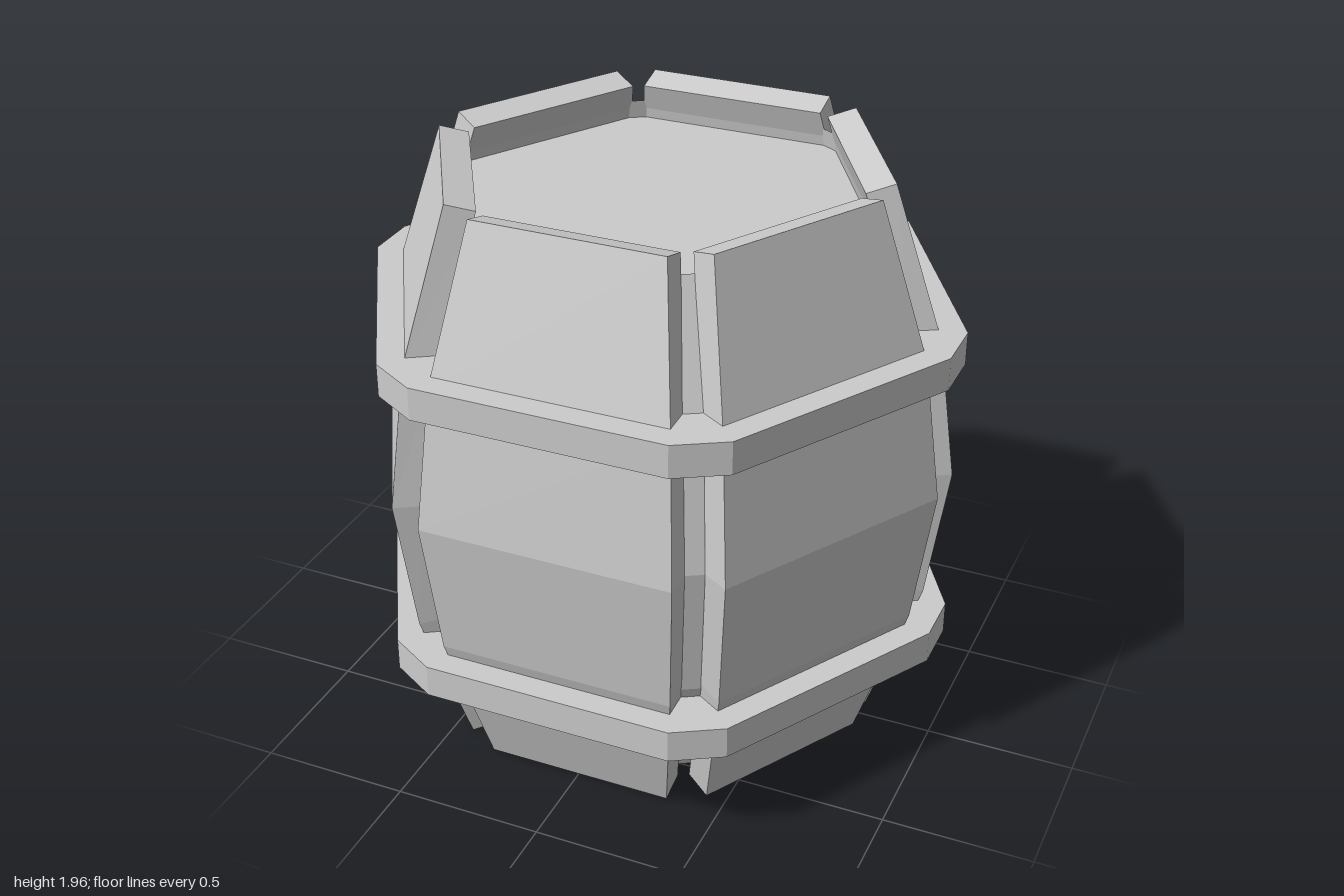
import * as THREE from 'three';

const material = new THREE.MeshStandardMaterial({ color: 0xcccccc, flatShading: true });

// Hexagon with chamfered corners, counter-clockwise; r = distance to chamfer, h = half chamfer width
function chamferedHexagon(r, h) {
  const points = [];
  for (let k = 0; k < 6; k++) {
    const c = Math.cos(k * Math.PI / 3), s = Math.sin(k * Math.PI / 3);
    for (const t of [-h, h]) points.push(new THREE.Vector2(r * c - t * s, r * s + t * c));
  }
  return points;
}

// Closed solid through stacked cross-sections (bottom to top, counter-clockwise from above)
function loft(sections) {
  const n = sections[0].length, last = sections.length - 1, index = [];
  for (let i = 0; i < last; i++) {
    for (let j = 0; j < n; j++) {
      const a = i * n + j, b = i * n + (j + 1) % n;
      index.push(a, b, b + n, a, b + n, a + n);
    }
  }
  for (let j = 1; j < n - 1; j++) {
    index.push(0, j + 1, j);
    index.push(last * n, last * n + j, last * n + j + 1);
  }
  const indexed = new THREE.BufferGeometry().setFromPoints(sections.flat());
  indexed.setIndex(index);
  const geometry = indexed.toNonIndexed();
  geometry.computeVertexNormals();
  return geometry;
}

function addMesh(parent, name, geometry) {
  const mesh = new THREE.Mesh(geometry, material);
  mesh.name = name;
  parent.add(mesh);
  return mesh;
}

export function createModel() {
  const barrel = new THREE.Group();
  barrel.name = 'barrel';

  // Inner body with thin rims and recessed lids, listed from lid to lid: [y, radius]
  const bodyProfile = [
    [0.155, 0.7], [0.09, 0.688], [0.51, 0.842], [0.98, 0.906],
    [1.45, 0.842], [1.87, 0.688], [1.805, 0.7],
  ];
  addMesh(barrel, 'innerBody', loft(bodyProfile.map(([y, r]) =>
    chamferedHexagon(r, 0.03).map((p) => new THREE.Vector3(p.x, y, -p.y)))));

  // Six bent staves: [outer y, outer z, inner y, inner z, half width]
  const staveProfile = [
    [0, 0.683, 0.027, 0.588, 0.318],
    [0.51, 0.838, 0.53, 0.742, 0.396],
    [0.98, 0.897, 0.98, 0.798, 0.426],
    [1.45, 0.838, 1.43, 0.742, 0.396],
    [1.957, 0.683, 1.93, 0.588, 0.318],
  ];
  const staveGeometry = loft(staveProfile.map(([yo, zo, yi, zi, w]) => [
    new THREE.Vector3(-w, yo, zo), new THREE.Vector3(w, yo, zo),
    new THREE.Vector3(w, yi, zi), new THREE.Vector3(-w, yi, zi),
  ]));
  const staves = new THREE.Group();
  staves.name = 'staves';
  barrel.add(staves);
  for (let k = 0; k < 6; k++) {
    addMesh(staves, 'stave', staveGeometry).rotation.y = k * Math.PI / 3;
  }

  // Two hoops around the staves
  const outline = new THREE.Shape(chamferedHexagon(1, 0.092));
  outline.holes.push(new THREE.Path(chamferedHexagon(0.76, 0.075).reverse()));
  const hoopGeometry = new THREE.ExtrudeGeometry(outline, { depth: 0.11, bevelEnabled: false });
  hoopGeometry.rotateX(-Math.PI / 2);
  addMesh(barrel, 'lowerHoop', hoopGeometry).position.y = 0.36;
  addMesh(barrel, 'upperHoop', hoopGeometry).position.y = 1.38;

  return barrel;
}
